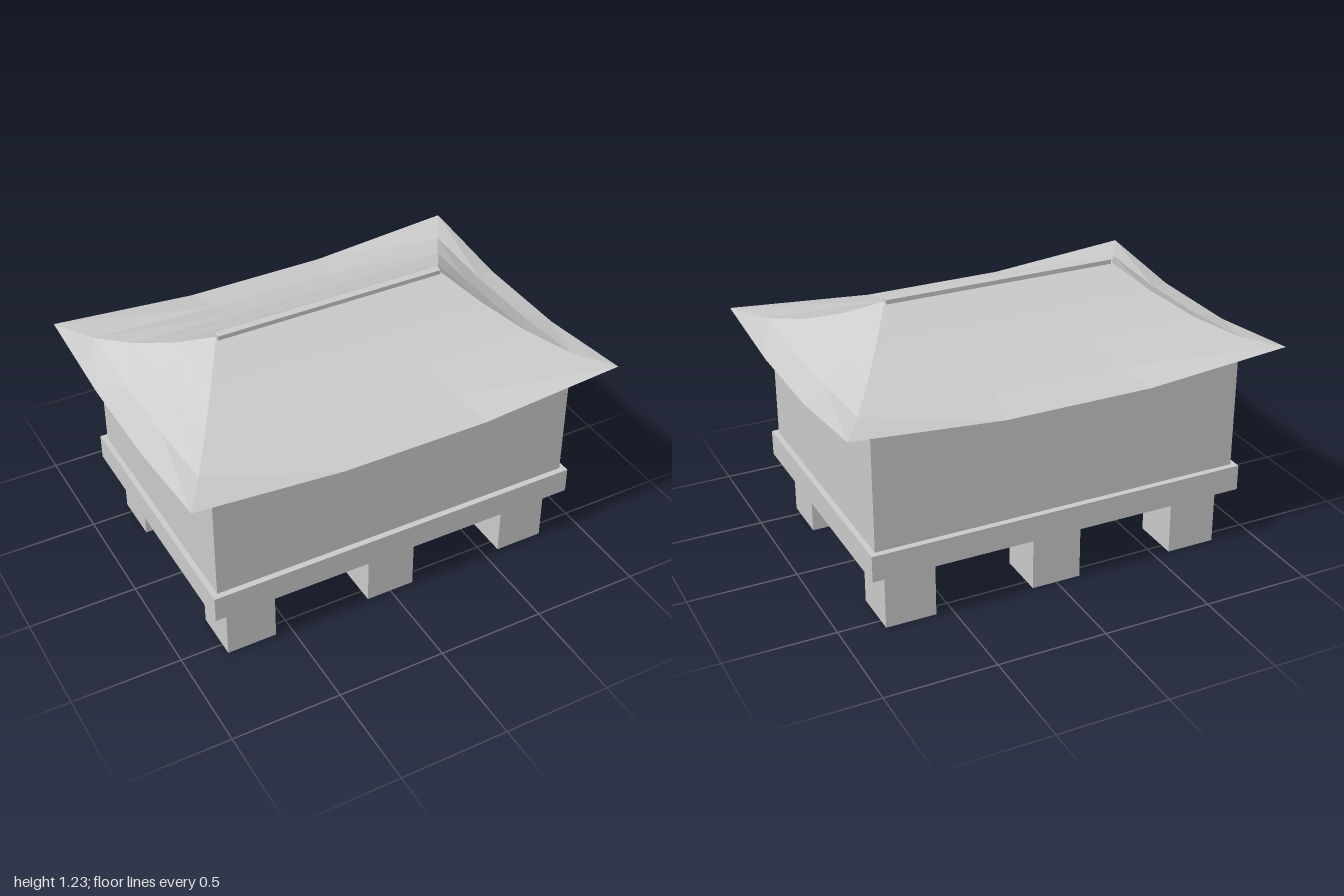
import * as THREE from 'three';

const stone = new THREE.MeshStandardMaterial({ color: 0xcccccc, flatShading: true });
stone.name = 'pale stone';
const roofStone = stone.clone();
roofStone.name = 'pale roof stone';
roofStone.side = THREE.DoubleSide;

function box(name, w, h, d, x, yBottom, z) {
  const mesh = new THREE.Mesh(new THREE.BoxGeometry(w, h, d), stone);
  mesh.name = name;
  mesh.position.set(x, yBottom + h / 2, z);
  return mesh;
}

// Open hipped roof: concave slopes with eaves that sweep up at the corners.
function roofGeometry() {
  const ROWS = 4, COLS = 3;
  const ridge = 0.54, halfX = 1, halfZ = 0.73, eaveY = 0.945, rise = 0.275, lift = 0.055;
  // t runs from ridge to eave, s along the slope from corner to corner
  const point = (side, t, s) => {
    const corner = Math.abs(s) > 0.5 ? 1 : 0;
    const y = eaveY + rise * (1 - t) ** 1.6 + lift * corner * t ** 3;
    const x = ridge + (halfX - ridge) * t, z = halfZ * t;
    return [[s * x, y, z], [x, y, -s * z], [-s * x, y, -z], [-x, y, s * z]][side];
  };
  const positions = [];
  for (let side = 0; side < 4; side++) {
    for (let r = 0; r < ROWS; r++) {
      for (let c = 0; c < COLS; c++) {
        const t0 = r / ROWS, t1 = (r + 1) / ROWS;
        const s0 = -1 + (2 * c) / COLS, s1 = -1 + (2 * (c + 1)) / COLS;
        const a = point(side, t0, s0), b = point(side, t1, s0);
        const d = point(side, t1, s1), e = point(side, t0, s1);
        positions.push(...a, ...b, ...d);
        // the end slopes come to a point at the ridge
        if (r > 0 || side % 2 === 0) positions.push(...a, ...d, ...e);
      }
    }
  }
  const geometry = new THREE.BufferGeometry();
  geometry.setAttribute('position', new THREE.Float32BufferAttribute(positions, 3));
  geometry.computeVertexNormals();
  return geometry;
}

export function createModel() {
  const model = new THREE.Group();
  model.name = 'roofedChest';

  // Six square feet
  const feet = new THREE.Group();
  feet.name = 'feet';
  for (const x of [-0.69, 0, 0.69]) {
    for (const z of [-0.443, 0.443]) feet.add(box('foot', 0.23, 0.28, 0.23, x, 0, z));
  }
  model.add(feet);

  // Base slab and body
  model.add(box('baseSlab', 1.76, 0.12, 1.24, 0, 0.28, 0));
  model.add(box('body', 1.71, 0.52, 1.185, 0, 0.4, 0));

  // Roof and ridge beam
  const roof = new THREE.Mesh(roofGeometry(), roofStone);
  roof.name = 'roof';
  model.add(roof);
  model.add(box('ridgeBeam', 1.08, 0.02, 0.036, 0, 1.211, 0));

  return model;
}
